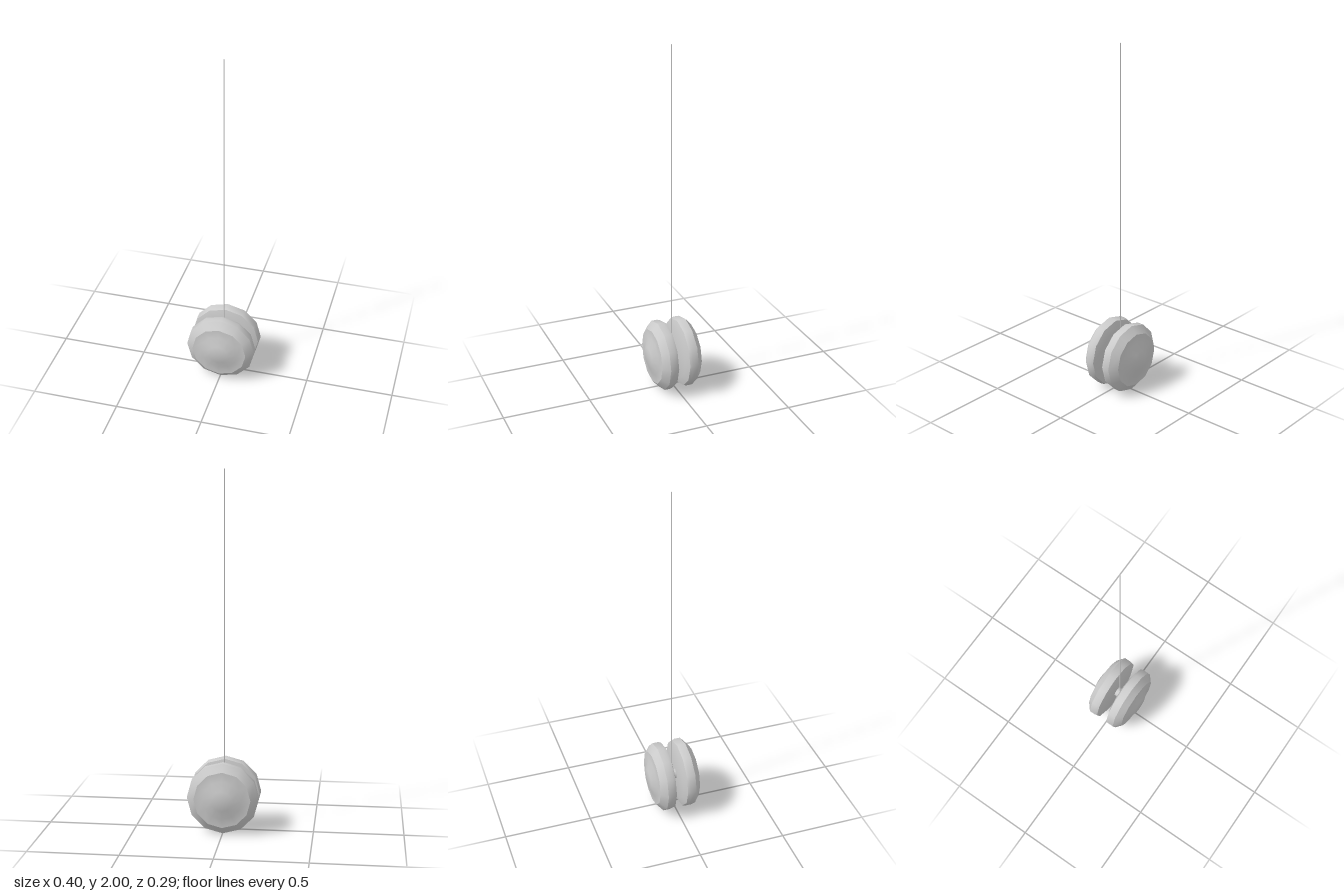
import * as THREE from 'three';
import { toCreasedNormals } from 'three/addons/utils/BufferGeometryUtils.js';

export function createModel() {
  const group = new THREE.Group();
  const material = new THREE.MeshStandardMaterial({ color: 0xcccccc });
  const hubY = 0.2;

  const add = (name, geometry) => {
    const mesh = new THREE.Mesh(geometry, material);
    mesh.name = name;
    group.add(mesh);
    return mesh;
  };

  // Half disc: radius and distance from the middle, inner face to outer cap
  const profile = [
    [0, 0.021], [0.15, 0.021], [0.195, 0.034], [0.2, 0.05], [0.2, 0.084],
    [0.158, 0.12], [0.108, 0.122], [0.057, 0.144], [0, 0.144],
  ].map(([r, d]) => new THREE.Vector2(r, d));
  const discGeometry = toCreasedNormals(new THREE.LatheGeometry(profile, 12), 0.65);

  // Mirrored pair of discs
  for (const [name, side] of [['frontDisc', 1], ['backDisc', -1]]) {
    const disc = add(name, discGeometry);
    disc.position.y = hubY;
    disc.rotation.x = side * Math.PI / 2;
  }

  // Axle joining the discs
  const axle = add('axle', new THREE.CylinderGeometry(0.03, 0.03, 0.044, 12, 1, true));
  axle.position.y = hubY;
  axle.rotation.x = Math.PI / 2;

  // String rising from the axle
  const bottom = hubY + 0.02;
  const string = add('string', new THREE.CylinderGeometry(0.0025, 0.0025, 2 - bottom, 8));
  string.position.y = (2 + bottom) / 2;

  return group;
}
